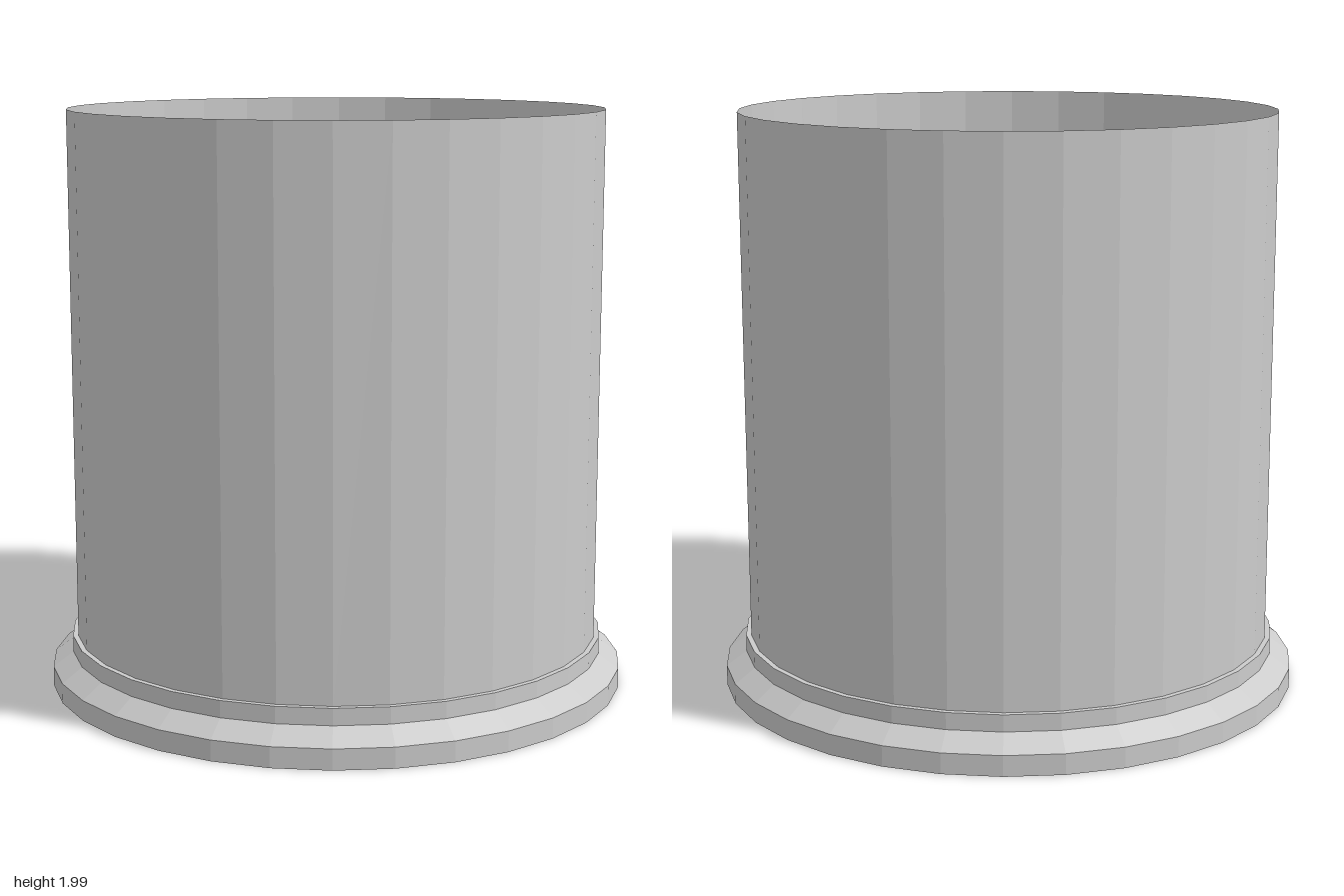
import * as THREE from 'three';

const SIDES = 32;

export function createModel() {
  const group = new THREE.Group();

  // Solid stepped base: foot rim, sloped shoulder, short collar with flat top
  const profile = [
    [0, 0], [1, 0], [1, 0.07], [0.93, 0.12], [0.93, 0.177], [0, 0.177],
  ].map(([r, y]) => new THREE.Vector2(r, y));
  const base = new THREE.Mesh(
    new THREE.LatheGeometry(profile, SIDES),
    new THREE.MeshStandardMaterial({ color: 0xcccccc, flatShading: true })
  );
  base.name = 'base';
  group.add(base);

  // Thin open-topped tube standing on the base
  const bottom = 0.177, top = 1.99;
  const tube = new THREE.Mesh(
    new THREE.CylinderGeometry(0.912, 0.912, top - bottom, SIDES, 1, true),
    new THREE.MeshStandardMaterial({ color: 0xcccccc, flatShading: true, side: THREE.DoubleSide })
  );
  tube.name = 'tubeWall';
  tube.position.y = (top + bottom) / 2;
  group.add(tube);

  return group;
}
